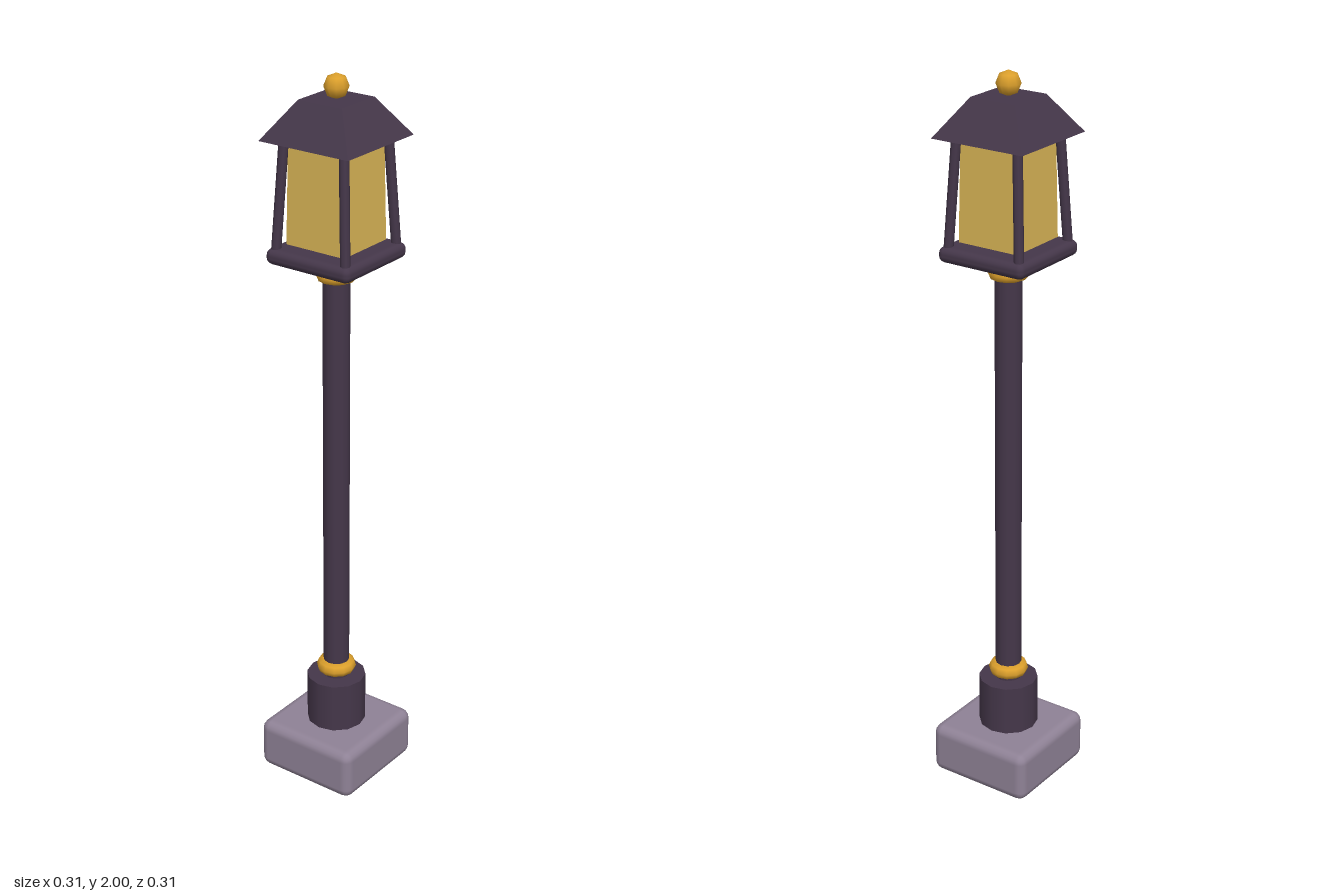
import * as THREE from 'three';
import { RoundedBoxGeometry } from 'three/addons/geometries/RoundedBoxGeometry.js';

const material = (name, color) => {
  const m = new THREE.MeshStandardMaterial({ color });
  m.name = name;
  return m;
};

// Square frustum with sharp faces, sized by half-widths
function squareFrustum(topHalf, bottomHalf, height) {
  const g = new THREE.CylinderGeometry(topHalf * Math.SQRT2, bottomHalf * Math.SQRT2, height, 4)
    .rotateY(Math.PI / 4).toNonIndexed();
  g.computeVertexNormals();
  return g;
}

export function createModel() {
  const group = new THREE.Group();
  group.name = 'streetLamp';
  const iron = material('dark iron', 0x45374a);
  const stone = material('grey stone', 0x8f8296);
  const glass = material('amber glass', 0xd9b556);
  const brass = material('brass', 0xdca02c);

  const add = (name, geometry, mat, y) => {
    const mesh = new THREE.Mesh(geometry, mat);
    mesh.name = name;
    mesh.position.y = y;
    group.add(mesh);
    return mesh;
  };

  // Foot and pole
  add('plinth', new RoundedBoxGeometry(0.31, 0.145, 0.31, 2, 0.027), stone, 0.0725);
  add('poleSocket', new THREE.CylinderGeometry(0.082, 0.082, 0.147, 12), iron, 0.2135);
  add('pole', new THREE.CylinderGeometry(0.036, 0.036, 1.29, 12), iron, 0.925);

  // Brass rings at both ends of the pole
  for (const [name, y] of [['lowerRing', 0.315], ['upperRing', 1.48]]) {
    add(name, new THREE.TorusGeometry(0.035, 0.02, 8, 12).rotateX(Math.PI / 2), brass, y);
  }

  // Lantern
  add('lanternTray', new RoundedBoxGeometry(0.262, 0.042, 0.262, 2, 0.018), iron, 1.535);
  add('lanternGlass', squareFrustum(0.085, 0.09, 0.275), glass, 1.7025);
  add('roof', squareFrustum(0.067, 0.137, 0.1), iron, 1.886);
  add('finial', new THREE.SphereGeometry(0.033, 10, 4), brass, 1.967);

  // Four corner posts leaning inwards
  const up = new THREE.Vector3(0, 1, 0);
  for (const sx of [-1, 1]) {
    for (const sz of [-1, 1]) {
      const foot = new THREE.Vector3(sx * 0.109, 1.54, sz * 0.109);
      const head = new THREE.Vector3(sx * 0.092, 1.845, sz * 0.092);
      const dir = head.clone().sub(foot);
      const post = add('cornerPost', new THREE.CylinderGeometry(0.013, 0.013, dir.length(), 8), iron, 0);
      post.position.copy(foot).add(head).multiplyScalar(0.5);
      post.quaternion.setFromUnitVectors(up, dir.normalize());
    }
  }
  return group;
}
